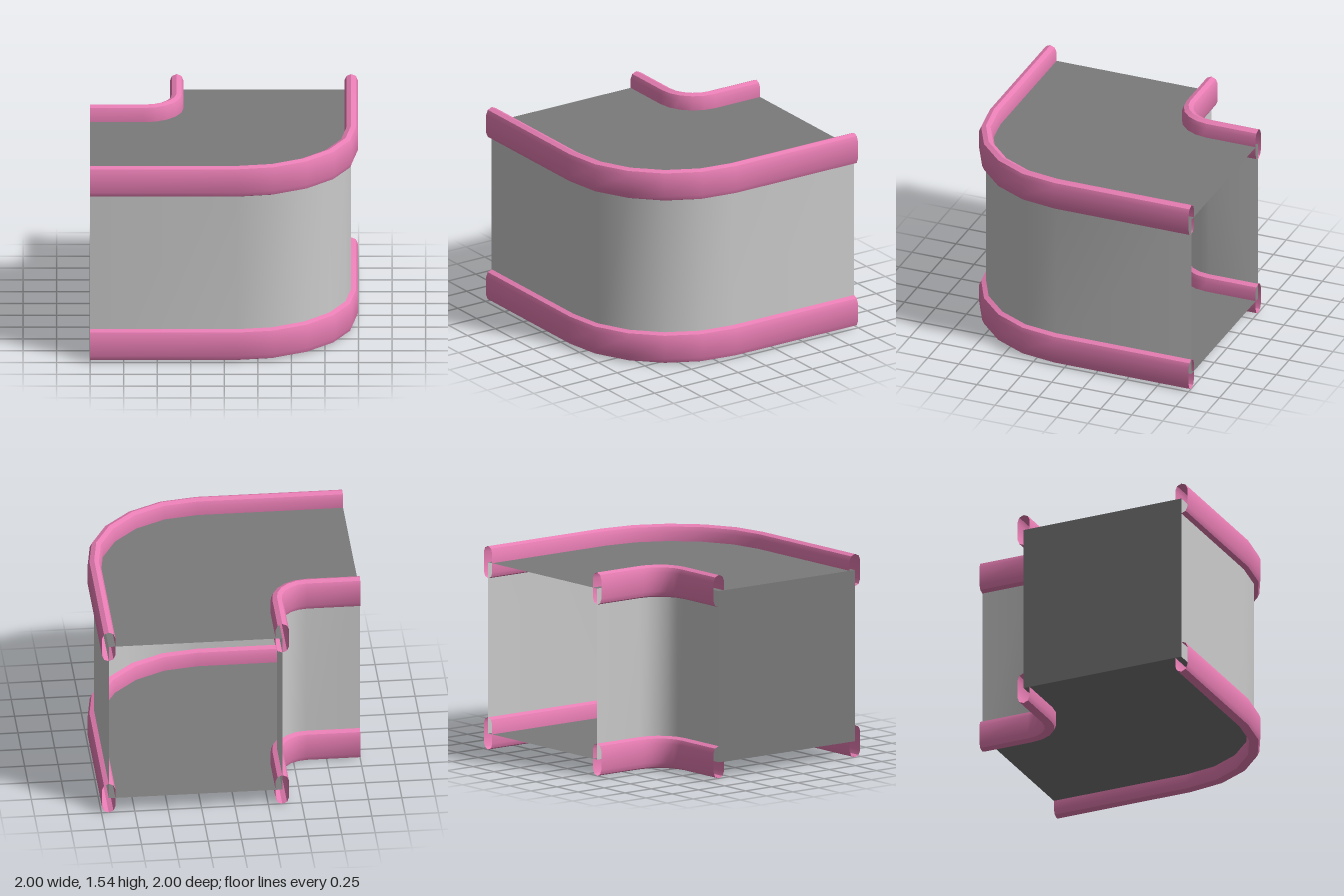
import * as THREE from 'three';
import { toCreasedNormals } from 'three/addons/utils/BufferGeometryUtils.js';

const ARC_SEGMENTS = 5;
const LOW = 0.1225, HIGH = 1.4225;                 // floor and ceiling heights
const OUTER = { centre: 0.09, radius: 0.855 };     // bend of the outer wall
const INNER = { centre: -0.6, radius: 0.245 };     // bend of the inner wall

const material = (color) => new THREE.MeshStandardMaterial({ color, side: THREE.DoubleSide });

// Plan line [x, z]: straight leg, quarter bend, straight leg, shifted outward by d
function bendPath({ centre, radius }, d = 0) {
  const r = radius + d;
  const points = [[-1, centre + r]];
  for (let i = 0; i <= ARC_SEGMENTS; i++) {
    const a = (i / ARC_SEGMENTS) * Math.PI / 2;
    points.push([centre + r * Math.sin(a), centre + r * Math.cos(a)]);
  }
  points.push([centre + r, -1]);
  return points;
}

// Sweeps a profile of [outward offset, height] points along a bend
function sweep(bend, profile) {
  const lines = profile.map(([d, y]) => bendPath(bend, d).map(([x, z]) => [x, y, z]));
  const positions = [];
  for (let j = 0; j < lines.length - 1; j++) {
    for (let i = 0; i < lines[j].length - 1; i++) {
      const a = lines[j][i], b = lines[j][i + 1];
      const c = lines[j + 1][i + 1], e = lines[j + 1][i];
      positions.push(...a, ...b, ...c, ...a, ...c, ...e);
    }
  }
  const geometry = new THREE.BufferGeometry();
  geometry.setAttribute('position', new THREE.Float32BufferAttribute(positions, 3));
  return toCreasedNormals(geometry, Math.PI / 6);
}

// Closed upright capsule outline, each round end in four facets
function railProfile(y) {
  const r = 0.05, half = LOW - r;
  const points = [];
  for (const [start, shift] of [[0, half], [Math.PI, -half]]) {
    for (let i = 0; i <= 4; i++) {
      const a = start + i * Math.PI / 4;
      points.push([r * Math.cos(a), y + shift + r * Math.sin(a)]);
    }
  }
  points.push(points[0]);
  return points;
}

export function createModel() {
  const group = new THREE.Group();
  const wallMaterial = material(0xcccccc);
  const panelMaterial = material(0x7a7a7a);
  const railMaterial = material(0xe87eb4);

  const add = (name, geometry, mat) => {
    const mesh = new THREE.Mesh(geometry, mat);
    mesh.name = name;
    group.add(mesh);
    return mesh;
  };

  // Curved walls
  add('outerWall', sweep(OUTER, [[0, LOW], [0, HIGH]]), wallMaterial);
  add('innerWall', sweep(INNER, [[0, HIGH], [0, LOW]]), wallMaterial);

  // Floor and ceiling share one L-shaped plan
  const outline = [...bendPath(OUTER), ...bendPath(INNER).reverse()];
  const plan = new THREE.Shape(outline.map(([x, z]) => new THREE.Vector2(x, -z)));
  for (const [name, y] of [['floor', LOW], ['ceiling', HIGH]]) {
    const panel = new THREE.ShapeGeometry(plan).rotateX(-Math.PI / 2).translate(0, y, 0);
    add(name, panel, panelMaterial);
  }

  // Panel closing one end; the other end stays open
  const inner = INNER.centre + INNER.radius, outer = OUTER.centre + OUTER.radius;
  const endPanel = new THREE.PlaneGeometry(outer - inner, HIGH - LOW)
    .rotateY(-Math.PI / 2)
    .translate(-1, (LOW + HIGH) / 2, (inner + outer) / 2);
  add('endPanel', endPanel, panelMaterial);

  // Hollow rails along the four long edges
  for (const [side, bend] of [['outer', OUTER], ['inner', INNER]]) {
    for (const [level, y] of [['Bottom', LOW], ['Top', HIGH]]) {
      add(`${side}${level}Rail`, sweep(bend, railProfile(y)), railMaterial);
    }
  }

  return group;
}
